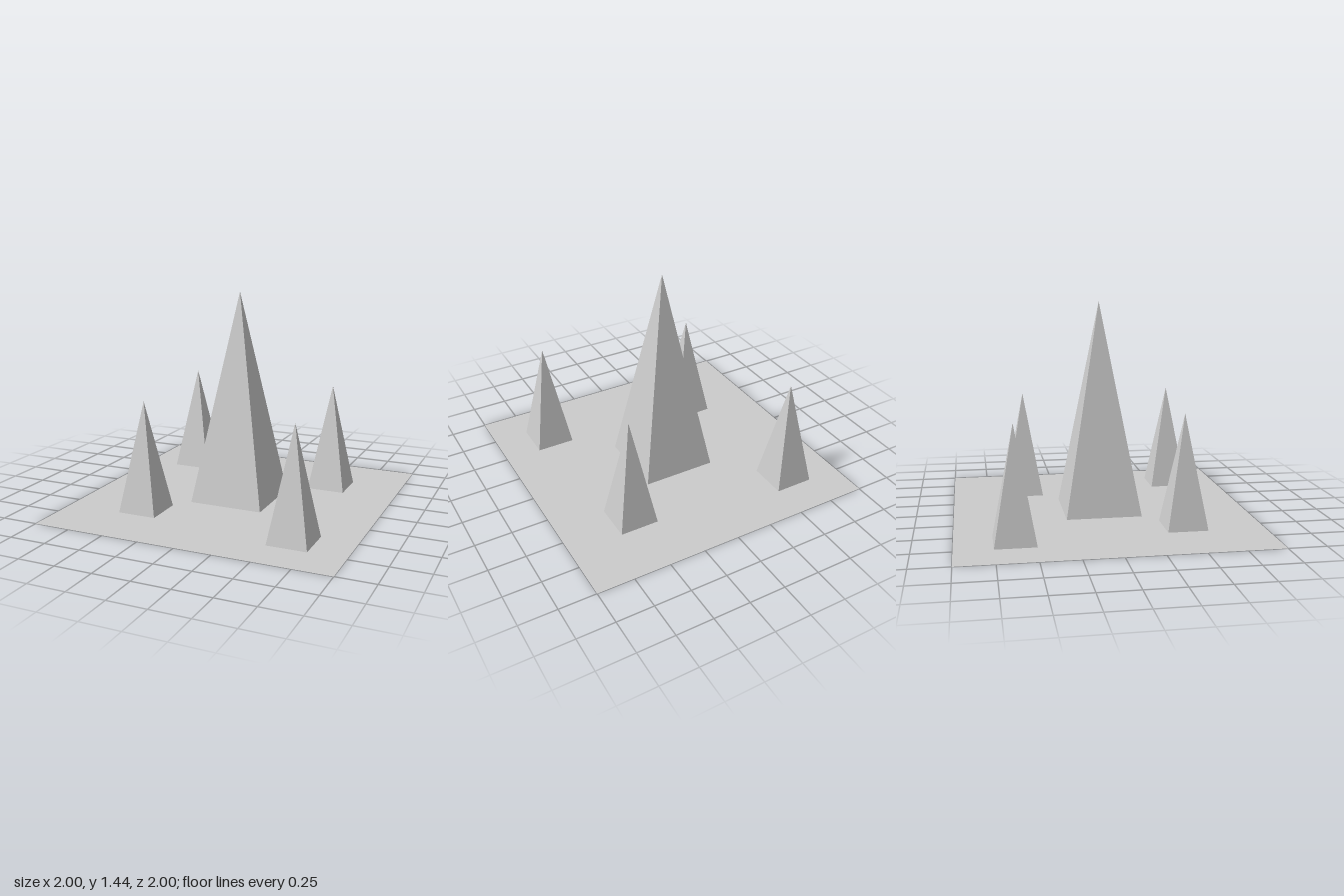
import * as THREE from 'three';

const material = new THREE.MeshStandardMaterial({ color: 0xcccccc, flatShading: true });

// Square pyramid with sides parallel to x and z, standing on height y
function pyramid(name, halfWidth, height, x, y, z) {
  const geometry = new THREE.ConeGeometry(halfWidth * Math.SQRT2, height, 4, 1);
  geometry.rotateY(Math.PI / 4);
  geometry.translate(0, height / 2, 0);
  const mesh = new THREE.Mesh(geometry, material);
  mesh.name = name;
  mesh.position.set(x, y, z);
  return mesh;
}

export function createModel() {
  const model = new THREE.Group();
  model.name = 'pyramidField';

  // Flat ground sheet, seen from both sides
  const groundMaterial = material.clone();
  groundMaterial.side = THREE.DoubleSide;
  const ground = new THREE.Mesh(new THREE.PlaneGeometry(2, 2).rotateX(-Math.PI / 2), groundMaterial);
  ground.name = 'groundPlane';
  model.add(ground);

  // Tall central spire
  model.add(pyramid('centralSpire', 0.255, 1.434, 0, 0.008, 0));

  // Four smaller spires around it
  const spires = [
    ['backRightSpire', -0.627, -0.623],
    ['backLeftSpire', 0.511, -0.488],
    ['frontRightSpire', -0.478, 0.485],
    ['frontLeftSpire', 0.626, 0.62],
  ];
  for (const [name, x, z] of spires) {
    model.add(pyramid(name, 0.132, 0.744, x, 0.004, z));
  }

  return model;
}
